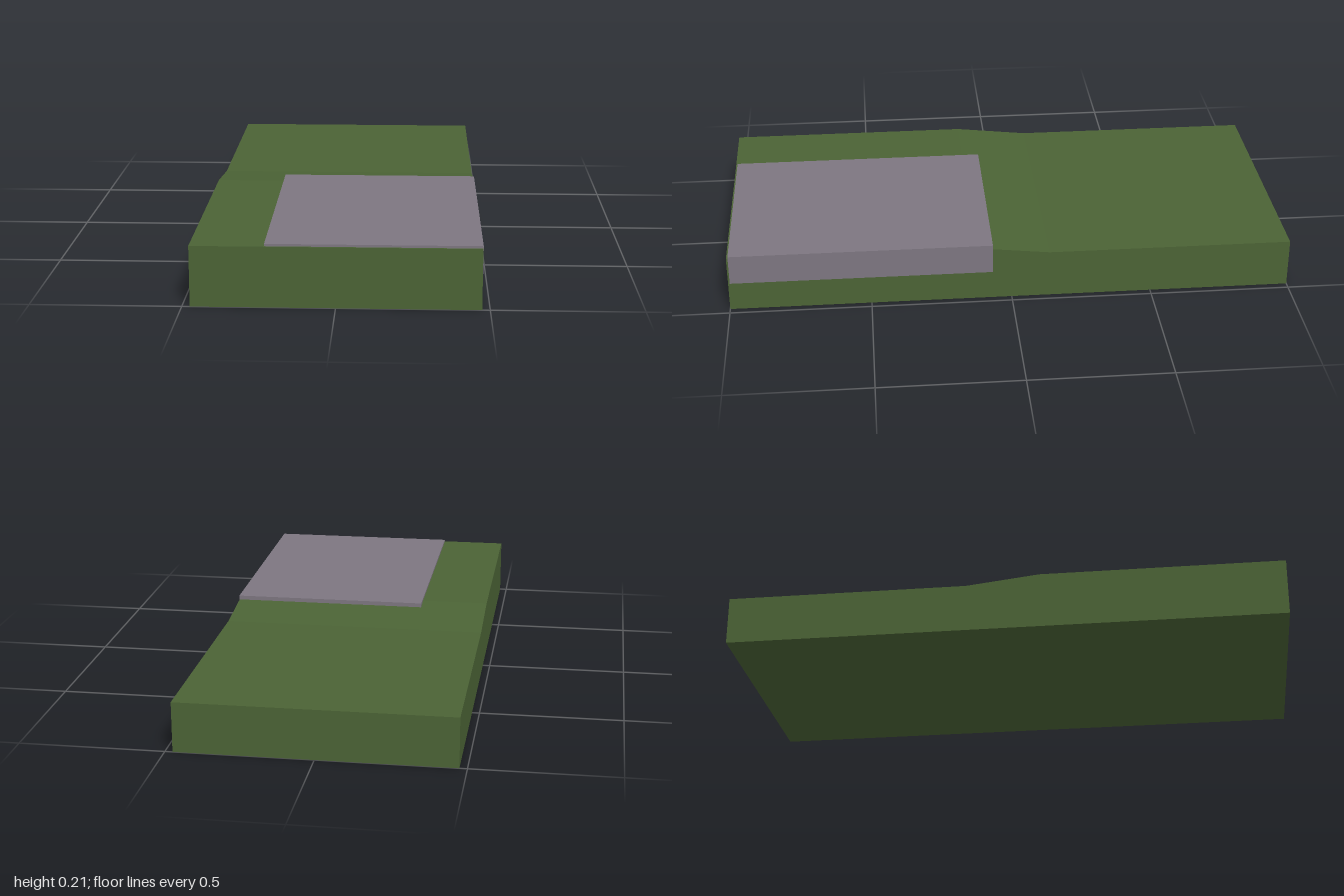
import * as THREE from 'three';

export function createModel() {
  const group = new THREE.Group();
  const grass = new THREE.MeshStandardMaterial({ color: 0x4b6335 });
  grass.name = 'grass green';
  const stone = new THREE.MeshStandardMaterial({ color: 0x7d7680 });
  stone.name = 'stone grey';

  // Ground block: side profile (z, y) with a gentle ramp, swept across x
  const profile = new THREE.Shape(
    [[-1, 0], [1, 0], [1, 0.205], [0.13, 0.205], [-0.135, 0.175], [-1, 0.175]]
      .map(([z, y]) => new THREE.Vector2(-z, y)).reverse()
  );
  const width = 0.948;
  const groundGeometry = new THREE.ExtrudeGeometry(profile, { depth: width, bevelEnabled: false });
  groundGeometry.translate(0, 0, -width / 2);
  groundGeometry.rotateY(Math.PI / 2);
  const ground = new THREE.Mesh(groundGeometry, grass);
  ground.name = 'ground';
  group.add(ground);

  // Paved slab sunk into the raised end, just proud of the left side
  const [x0, x1, y0, y1, z0, z1] = [-0.23, 0.475, 0.105, 0.213, 0.067, 0.994];
  const slab = new THREE.Mesh(new THREE.BoxGeometry(x1 - x0, y1 - y0, z1 - z0), stone);
  slab.position.set((x0 + x1) / 2, (y0 + y1) / 2, (z0 + z1) / 2);
  slab.name = 'pavedSlab';
  group.add(slab);

  return group;
}
